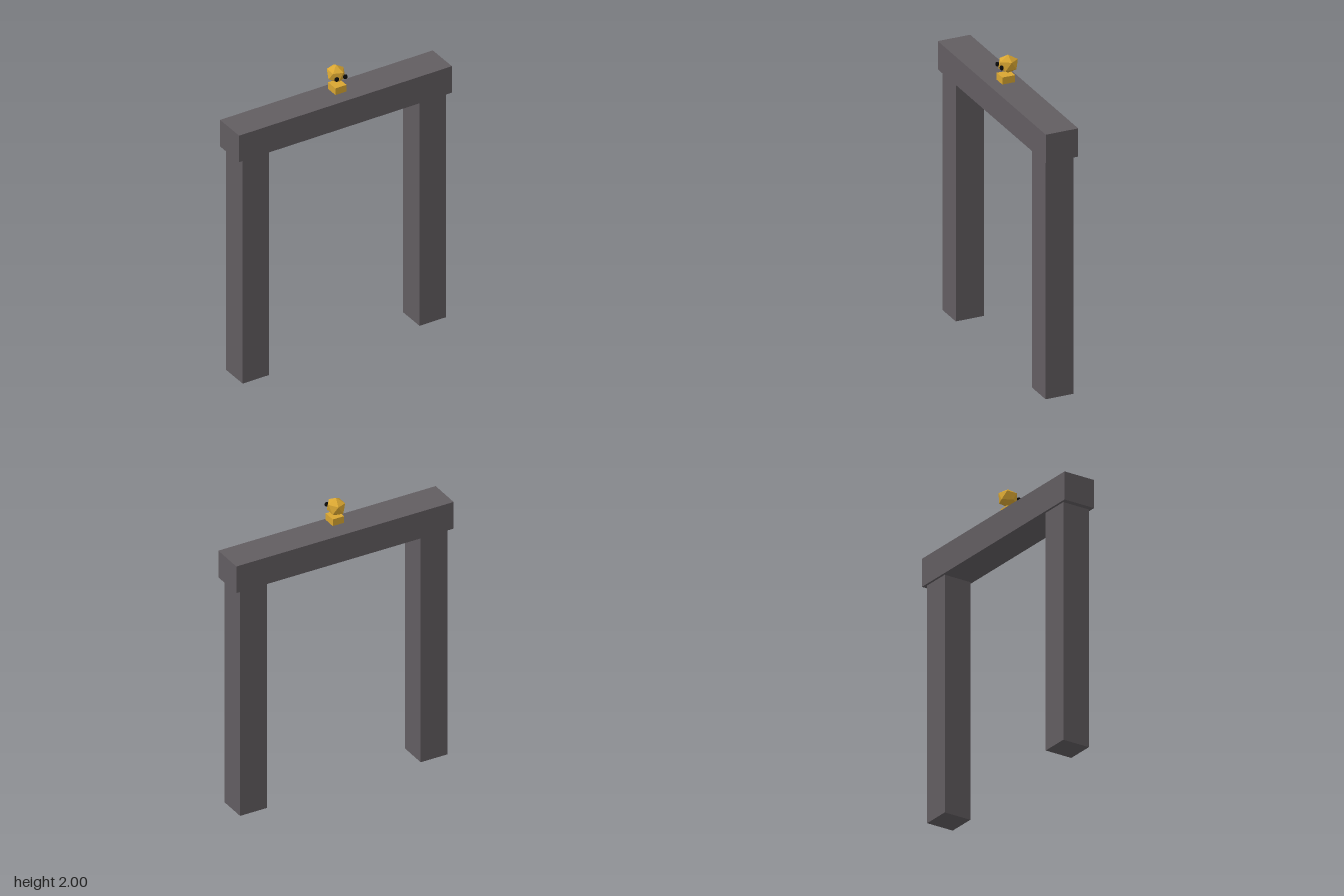
import * as THREE from 'three';
import { ConvexGeometry } from 'three/addons/geometries/ConvexGeometry.js';

const stone = new THREE.MeshStandardMaterial({ color: 0x625d61, flatShading: true });
const gold = new THREE.MeshStandardMaterial({ color: 0xd9a632, flatShading: true });
const black = new THREE.MeshStandardMaterial({ color: 0x080808 });

function addMesh(parent, name, geometry, material, x, y, z) {
  const mesh = new THREE.Mesh(geometry, material);
  mesh.name = name;
  mesh.position.set(x, y, z);
  parent.add(mesh);
  return mesh;
}

// Twenty-sided ball standing on a corner: two poles and two staggered rings of five
function facetedBall() {
  const points = [new THREE.Vector3(0, 1, 0), new THREE.Vector3(0, -1, 0)];
  const h = 1 / Math.sqrt(5);
  for (let i = 0; i < 5; i++) {
    const a = (i * 2 * Math.PI) / 5;
    const x = 2 * h * Math.cos(a), z = 2 * h * Math.sin(a);
    points.push(new THREE.Vector3(x, h, z), new THREE.Vector3(-x, -h, -z));
  }
  return new ConvexGeometry(points);
}

export function createModel() {
  const model = new THREE.Group();
  model.name = 'gateway';

  // Gate: two posts and a lintel
  for (const side of [-1, 1]) {
    addMesh(model, side > 0 ? 'leftPost' : 'rightPost',
      new THREE.BoxGeometry(0.19, 1.61, 0.19), stone, side * 0.64, 0.805, 0);
  }
  addMesh(model, 'lintel', new THREE.BoxGeometry(1.54, 0.19, 0.22), stone, 0, 1.702, 0);

  // Small figure hovering just above the lintel
  const figure = new THREE.Group();
  figure.name = 'figure';
  model.add(figure);
  addMesh(figure, 'body', new THREE.BoxGeometry(0.08, 0.047, 0.087), gold, 0, 1.849, 0.014);
  addMesh(figure, 'head', facetedBall(), gold, 0, 1.939, 0).scale.set(0.061, 0.061, 0.069);
  for (const side of [-1, 1]) {
    addMesh(figure, side > 0 ? 'leftEye' : 'rightEye',
      new THREE.SphereGeometry(0.015, 16, 12), black, side * 0.031, 1.934, 0.058).scale.z = 0.8;
  }
  return model;
}
